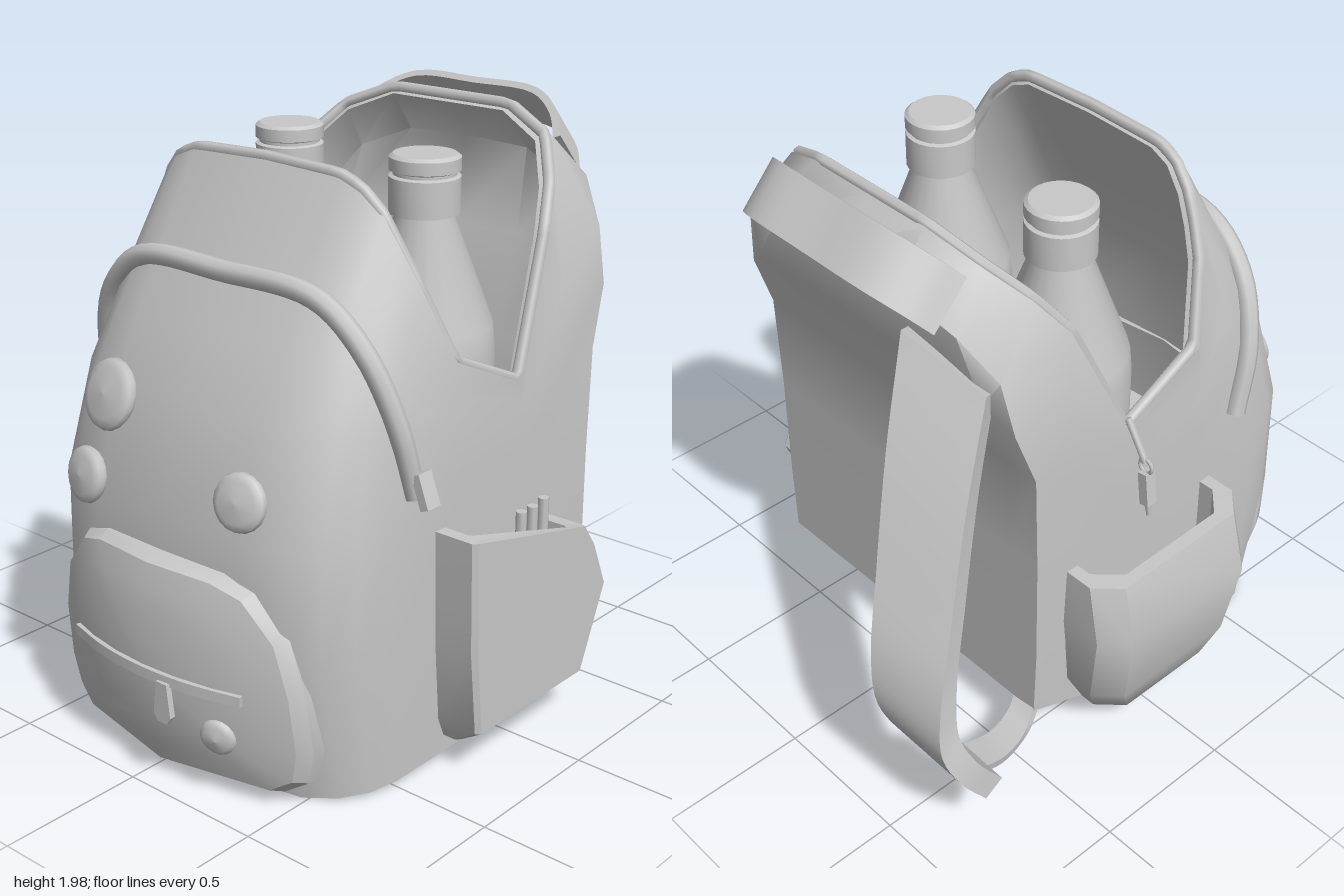
import * as THREE from 'three';
import { toCreasedNormals } from 'three/addons/utils/BufferGeometryUtils.js';

const V = (x, y, z) => new THREE.Vector3(x, y, z);
const CX = 0.04; // the bag's own middle line

// Skin a list of equal-length closed rings; collapsed rings close the ends
function loft(rings, crease = 0.6) {
  const pos = [];
  const tri = (a, b, c) => {
    if (a.distanceTo(b) < 1e-5 || b.distanceTo(c) < 1e-5 || a.distanceTo(c) < 1e-5) return;
    for (const p of [a, b, c]) pos.push(p.x, p.y, p.z);
  };
  for (let i = 0; i + 1 < rings.length; i++) {
    const r = rings[i], s = rings[i + 1], n = r.length;
    for (let j = 0; j < n; j++) {
      const k = (j + 1) % n;
      tri(r[j], r[k], s[k]);
      tri(r[j], s[k], s[j]);
    }
  }
  const g = new THREE.BufferGeometry();
  g.setAttribute('position', new THREE.Float32BufferAttribute(pos, 3));
  return toCreasedNormals(g, crease);
}
const collapse = (ring, p) => ring.map(() => p.clone());
const middle = (ring) => ring.reduce((a, p) => a.add(p), V(0, 0, 0)).divideScalar(ring.length);
// Half ring from the middle line round +x, completed by its mirror image
const mirrorRing = (half) => [...half, ...half.slice(1, -1).reverse().map((p) => V(-p.x, p.y, p.z))];

// Flat band swept along a curve; the width direction turns from wide to wideEnd
function ribbon(points, wide, thick, n = 20, wideEnd = wide) {
  const curve = new THREE.CatmullRomCurve3(points.map((p) => V(...p)), false, 'centripetal');
  const rings = [];
  for (let i = 0; i <= n; i++) {
    const c = curve.getPoint(i / n);
    const w = V(...wide).lerp(V(...wideEnd), i / n);
    const side = curve.getTangent(i / n).cross(w).setLength(thick / 2);
    rings.push([[-1, -1], [1, -1], [1, 1], [-1, 1]].map(([a, b]) =>
      c.clone().addScaledVector(w, a / 2).addScaledVector(side, b)));
  }
  return loft([collapse(rings[0], middle(rings[0])), ...rings, collapse(rings[n], middle(rings[n]))]);
}

// Columns from front middle to back middle:
// base x, z, bottom height, then four upper points up to the rim
const frontColumns = [
  [0, 0.78, 0, 0, 1.2, 0.78, 0, 1.4, 0.68, 0, 1.6, 0.57, 0, 1.88, 0.4],
  [0.3, 0.765, 0, 0.3, 1.2, 0.76, 0.3, 1.4, 0.66, 0.3, 1.6, 0.55, 0.3, 1.87, 0.4],
  [0.44, 0.74, 0, 0.43, 1.2, 0.73, 0.41, 1.4, 0.635, 0.39, 1.59, 0.535, 0.38, 1.84, 0.395],
  [0.54, 0.68, 0.01, 0.52, 1.2, 0.67, 0.49, 1.38, 0.59, 0.46, 1.56, 0.51, 0.45, 1.77, 0.38],
  [0.595, 0.6, 0.015, 0.575, 1.18, 0.595, 0.555, 1.34, 0.535, 0.53, 1.5, 0.465, 0.5, 1.68, 0.365],
  [0.62, 0.5, 0.02, 0.61, 1.15, 0.5, 0.6, 1.29, 0.465, 0.58, 1.42, 0.415, 0.55, 1.58, 0.34],
  [0.63, 0.25, 0.03, 0.64, 1.0, 0.27, 0.64, 1.12, 0.26, 0.63, 1.23, 0.26, 0.63, 1.33, 0.25],
];
const backColumns = [
  [0.63, -0.07, 0.05, 0.64, 0.95, -0.07, 0.64, 1.04, -0.07, 0.64, 1.12, -0.07, 0.64, 1.19, -0.07],
  [0.63, -0.25, 0.12, 0.64, 1.1, -0.25, 0.64, 1.3, -0.29, 0.62, 1.45, -0.3, 0.585, 1.62, -0.27],
  [0.63, -0.45, 0.2, 0.64, 1.2, -0.46, 0.625, 1.4, -0.53, 0.585, 1.58, -0.55, 0.53, 1.75, -0.37],
  [0.5, -0.45, 0.2, 0.54, 1.2, -0.46, 0.53, 1.48, -0.57, 0.48, 1.72, -0.62, 0.43, 1.87, -0.48],
  [0.28, -0.45, 0.2, 0.3, 1.2, -0.46, 0.29, 1.52, -0.59, 0.27, 1.8, -0.66, 0.25, 1.94, -0.53],
  [0, -0.45, 0.2, 0, 1.2, -0.46, 0, 1.52, -0.59, 0, 1.81, -0.66, 0, 1.94, -0.53],
];

function bodyRings() {
  const cols = [...frontColumns, ...backColumns], rows = [];
  const bulge = [0, 0.13, 0.12];
  [0, 0.45, 0.85].forEach((y, i) => rows.push(mirrorRing(cols.map(([x, z, yb]) =>
    V(x * (i ? 1.015 : 1), i ? y : yb, z + bulge[i] * Math.max(0, z))))));
  for (let k = 3; k < 15; k += 3) rows.push(mirrorRing(cols.map((c) => V(c[k], c[k + 1], c[k + 2]))));
  return rows;
}

// Open side pocket built upward from rows of [height, front z, back z, depth]
function sidePocket(rows, corner, topAt) {
  const section = ([y, zf, zb, d], inset, top) => [
    [0, zf], [d - corner, zf], [d, zf - corner], [d, zb + corner], [d - corner, zb], [0, zb],
  ].map(([x, z]) => V(0.61 + x - (x > 0 ? inset : 0),
    top ? topAt(z) : y, z - inset * Math.sign(z)));
  const last = rows[rows.length - 1];
  const outer = rows.map((r) => section(r, 0, r === last));
  const lip = section(last, 0.045, true);
  const floor = lip.map((p) => V(p.x, 0.4, p.z));
  return loft([collapse(outer[0], middle(outer[0])), ...outer, lip, floor, collapse(floor, middle(floor))]);
}

export function createModel() {
  const root = new THREE.Group();
  root.name = 'backpack';
  const grey = new THREE.MeshStandardMaterial({ color: 0xc8c8c8, side: THREE.DoubleSide });
  grey.name = 'light grey';
  const add = (name, geo, x = 0, y = 0, z = 0, parent = root) => {
    const m = new THREE.Mesh(geo, grey);
    m.name = name;
    m.position.set(x, y, z);
    parent.add(m);
    return m;
  };

  // Bag shell: outer wall, rim, inner wall and floor
  const outer = bodyRings();
  const inner = outer.slice(1).reverse().map((r) => r.map((p) => V(p.x * 0.92, p.y - 0.02, p.z * 0.92)));
  const floor = inner[inner.length - 1].map((p) => V(p.x, 0.25, p.z * (p.z > 0 ? 0.55 : 0.95)));
  add('bag', loft([collapse(outer[0], V(0, 0.05, -0.05)), ...outer, ...inner, floor,
    collapse(floor, V(0, 0.25, 0))], 1.0), CX);

  // Piping round the opening
  const rim = outer[outer.length - 1].map((p) => V(p.x * 0.97, p.y, p.z * 0.97));
  const rimPath = new THREE.CurvePath();
  rim.forEach((p, i) => rimPath.add(new THREE.LineCurve3(p, rim[(i + 1) % rim.length])));
  add('rimPiping', new THREE.TubeGeometry(rimPath, 120, 0.02, 6, true), CX);

  // Zip band over the front
  const zipHalf = [[0.635, 0.97, 0.45], [0.615, 1.2, 0.51], [0.53, 1.41, 0.555], [0.37, 1.545, 0.575]];
  const zipPoints = [...zipHalf, [0, 1.565, 0.585],
    ...zipHalf.slice().reverse().map(([x, y, z]) => [-x, y, z])].map((p) => V(...p));
  const zipCurve = new THREE.CatmullRomCurve3(zipPoints, false, 'centripetal');
  add('frontZip', new THREE.TubeGeometry(zipCurve, 48, 0.035, 8), CX);
  add('frontZipPull', new THREE.BoxGeometry(0.03, 0.11, 0.06), 0.72, 1.0, 0.455).rotation.z = 0.35;

  // Front pocket wrapped round the belly
  const outline = [[0, 0.03], [0.42, 0.04], [0.5, 0.09], [0.525, 0.2], [0.515, 0.4],
    [0.47, 0.58], [0.36, 0.71], [0.25, 0.745], [0, 0.75]];
  const pocketZ = (x, y) => 0.975 - 0.48 * x * x - 0.3 * (y - 0.45) ** 2;
  const pocketRing = (s, dz) => mirrorRing(outline.map(([x, y]) => {
    const py = 0.4 + (y - 0.4) * s;
    return V(x * s, py, pocketZ(x * s, py) + dz);
  }));
  add('frontPocket', loft([pocketRing(1.0, -0.15), pocketRing(1.0, -0.045), pocketRing(0.95, -0.01),
    pocketRing(0.75, 0), pocketRing(0.5, 0), pocketRing(0.25, 0),
    collapse(pocketRing(0, 0), V(0, 0.4, pocketZ(0, 0.4)))], 0.45), CX);
  const mouth = [-0.36, -0.18, 0, 0.18, 0.36].map((x) => [x, 0.385 - 0.04 * x * x, pocketZ(x, 0.38)]);
  add('pocketZip', ribbon(mouth, [0, 0.035, 0], 0.03), CX);
  const tab = new THREE.Shape();
  tab.moveTo(-0.022, 0).lineTo(0.022, 0).lineTo(0.036, -0.11).lineTo(0.02, -0.135).lineTo(-0.02, -0.135).lineTo(-0.036, -0.11);
  add('pocketZipPull', new THREE.ExtrudeGeometry(tab, { depth: 0.02, bevelEnabled: false }), 0.14, 0.38, 0.975);

  // Domed pin badges: x, y, z, radius, turn, tilt
  const badge = new THREE.LatheGeometry([[0, 0.035], [0.7, 0.025], [0.95, 0.01], [1, -0.01], [0.9, -0.03]]
    .reverse().map(([r, y]) => new THREE.Vector2(r, y)), 18);
  for (const [x, y, z, r, turn, tilt] of [
    [-0.25, 1.165, 0.805, 0.115, -0.1, -0.33], [0.34, 0.98, 0.845, 0.092, 0.15, -0.22],
    [-0.31, 0.9, 0.865, 0.092, -0.15, -0.18], [0.31, 0.23, 0.925, 0.062, 0.3, 0.12],
  ]) {
    const holder = new THREE.Group();
    holder.name = 'pinBadge';
    holder.position.set(x, y, z);
    holder.rotation.set(tilt, turn, 0);
    root.add(holder);
    const m = add('badgeDisc', badge, 0, 0, 0, holder);
    m.rotation.x = Math.PI / 2;
    m.scale.set(r, 0.8, r);
  }

  // Side pockets
  add('leftPocket', sidePocket([[0.09, 0.28, -0.22, 0.08], [0.16, 0.31, -0.26, 0.18],
    [0.44, 0.34, -0.38, 0.18], [0.6, 0.345, -0.31, 0.18], [0.7, 0.35, -0.25, 0.18]], 0.015,
  (z) => Math.min(0.82, 0.68 + (z + 0.25) * 0.28)), CX);
  add('rightPocket', sidePocket([[0.05, 0.25, -0.12, 0.1], [0.1, 0.3, -0.22, 0.15],
    [0.25, 0.33, -0.3, 0.21], [0.54, 0.35, -0.33, 0.26], [0.75, 0.34, -0.32, 0.21]], 0.08,
  (z) => 0.755 + z * 0.02), CX).scale.x = -1;

  // Pens in the left pocket
  for (const [z, top] of [[-0.14, 0.79], [-0.08, 0.78], [-0.02, 0.78]])
    add('pen', new THREE.CylinderGeometry(0.018, 0.018, 0.4, 8), 0.73, top - 0.2, z);

  // Carrying handle on the back of the top
  const grip = [[-0.42, 1.785, -0.59], [-0.36, 1.85, -0.65], [-0.25, 1.9, -0.7], [0, 1.905, -0.705],
    [0.25, 1.9, -0.7], [0.36, 1.85, -0.65], [0.42, 1.785, -0.59]];
  add('handle', ribbon(grip, [0, -0.135, -0.125], 0.025, 30), CX);

  // Padded shoulder strap and its webbing
  add('shoulderStrap', ribbon([[-0.38, 1.6, -0.6], [-0.44, 1.28, -0.725], [-0.51, 0.96, -0.84],
    [-0.57, 0.7, -0.93], [-0.6, 0.54, -0.945], [-0.63, 0.4, -0.89], [-0.645, 0.27, -0.8]],
  [0.27, 0.13, -0.08], 0.08, 28, [0.27, 0.01, 0]));
  add('strapWebbing', ribbon([[-0.645, 0.27, -0.79], [-0.62, 0.2, -0.64], [-0.57, 0.175, -0.5],
    [-0.53, 0.2, -0.42]], [0.11, 0, 0.03], 0.03, 12));

  // Bottles: x, z, scale, cap top
  const profile = [[0, 0.3], [0.21, 0.3], [0.23, 0.33], [0.23, 1.26], [0.222, 1.34], [0.095, 1.68], [0.095, 1.7]];
  const cap = [[0.1, 1.69], [0.113, 1.69], [0.113, 1.805], [0.1, 1.81], [0.1, 1.82], [0.113, 1.825],
    [0.113, 1.865], [0.1, 1.875], [0, 1.875]];
  const lathe = (pts) => toCreasedNormals(
    new THREE.LatheGeometry(pts.map(([r, y]) => new THREE.Vector2(r, y)), 24), 0.5);
  const flask = lathe(profile), flaskCap = lathe(cap);
  for (const [x, z, s, top] of [[-0.29, -0.07, 1, 1.875], [0.35, 0.015, 1, 1.875], [0.005, 0.18, 0.62, 1.25]]) {
    const b = new THREE.Group();
    b.name = 'bottle';
    b.position.set(x, top - 1.875 * s, z);
    b.scale.setScalar(s);
    root.add(b);
    add('bottleBody', flask, 0, 0, 0, b);
    add('bottleCap', flaskCap, 0, 0, 0, b);
  }

  // Hanging zip pull on the right side
  const pull = new THREE.Group();
  pull.name = 'hangingZipPull';
  pull.position.set(-0.68, 1.1, -0.07);
  pull.rotation.z = -0.12;
  root.add(pull);
  add('pullLink', new THREE.CylinderGeometry(0.012, 0.012, 0.15, 6), 0.035, 0.07, 0, pull).rotation.z = -0.45;
  add('pullRing', new THREE.TorusGeometry(0.025, 0.007, 6, 12), 0, -0.01, 0, pull);
  add('pullTag', new THREE.BoxGeometry(0.035, 0.12, 0.04), 0, -0.09, 0, pull);
  add('pullTip', new THREE.CylinderGeometry(0.012, 0.008, 0.05, 6), 0, -0.17, 0, pull);

  return root;
}
